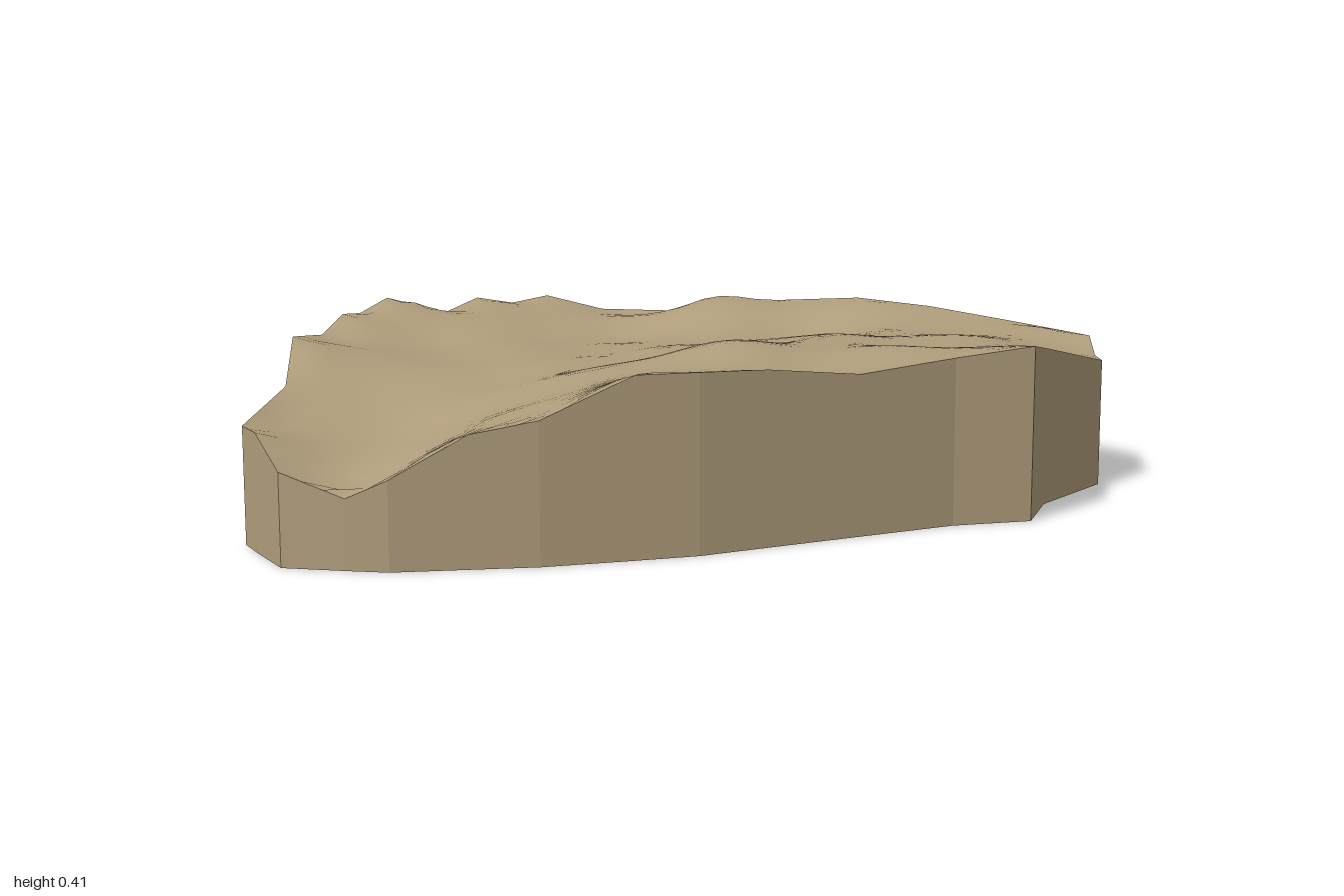
import * as THREE from 'three';

// Rim of the slab, clockwise from the back: x, z, height
const RIM = [
  [-0.47, -0.87, 0.385], [-0.31, -0.85, 0.35], [-0.09, -0.815, 0.35], [-0.02, -0.80, 0.385],
  [0.19, -0.74, 0.39], [0.41, -0.675, 0.405], [0.6, -0.615, 0.39], [0.81, -0.55, 0.36],
  [0.99, -0.32, 0.35], [0.995, -0.24, 0.31], [1.0, -0.15, 0.31], [0.84, 0.10, 0.37], [0.79, 0.29, 0.40],
  [0.61, 0.35, 0.38], [0.40, 0.475, 0.36], [0.2, 0.595, 0.385], [0.06, 0.68, 0.39],
  [-0.07, 0.73, 0.39], [-0.26, 0.80, 0.305], [-0.4, 0.83, 0.28], [-0.56, 0.865, 0.19],
  [-0.65, 0.857, 0.15], [-0.79, 0.84, 0.20], [-0.87, 0.72, 0.26], [-0.92, 0.64, 0.26],
  [-0.905, 0.34, 0.30], [-1.0, -0.09, 0.36], [-0.966, -0.25, 0.345], [-0.94, -0.37, 0.385],
  [-0.92, -0.48, 0.375], [-0.86, -0.545, 0.41], [-0.73, -0.69, 0.355], [-0.65, -0.75, 0.39],
  [-0.56, -0.81, 0.37],
];

// Swells and hollows of the upper surface: x, z, height
const RELIEF = [
  // back, falling toward the middle
  [-0.55, -0.55, 0.36], [-0.8, -0.42, 0.37], [-0.2, -0.66, 0.35], [0.1, -0.6, 0.385], [0.42, -0.52, 0.375],
  [-0.7, -0.28, 0.32], [-0.2, -0.5, 0.31], [0.25, -0.4, 0.325], [0.6, -0.4, 0.35],
  // middle
  [-0.4, -0.2, 0.32], [0, -0.3, 0.335], [0.35, -0.13, 0.375], [0.45, 0.02, 0.365],
  [0.1, 0, 0.35], [-0.2, 0.1, 0.32], [0.7, -0.2, 0.36], [0.72, 0.04, 0.365],
  // front crest and the step below it
  [0.11, 0.28, 0.4], [0.45, 0.22, 0.385], [0.26, 0.42, 0.355], [0, 0.46, 0.36], [-0.2, 0.35, 0.335],
  // gully running down to the low front corner
  [-0.75, 0.15, 0.315], [-0.5, 0.15, 0.3], [-0.5, 0.42, 0.26], [-0.65, 0.55, 0.22],
];

// Smooth height function passing through all the given points
function makeHeight(points) {
  const mean = 0.35, n = points.length;
  const kernel = (dx, dz) => {
    const r = Math.hypot(dx, dz) / 0.2;
    return (1 + r) * Math.exp(-r);
  };
  const m = points.map((p) => [...points.map((q) => kernel(p[0] - q[0], p[1] - q[1])), p[2] - mean]);
  for (let i = 0; i < n; i++) {
    for (let j = i + 1; j < n; j++) {
      const f = m[j][i] / m[i][i];
      for (let k = i; k <= n; k++) m[j][k] -= f * m[i][k];
    }
  }
  const w = new Array(n).fill(0);
  for (let i = n - 1; i >= 0; i--) {
    let s = m[i][n];
    for (let k = i + 1; k < n; k++) s -= m[i][k] * w[k];
    w[i] = s / m[i][i];
  }
  return (x, z) => {
    let y = mean;
    points.forEach((p, i) => { y += w[i] * kernel(x - p[0], z - p[1]); });
    return THREE.MathUtils.clamp(y, 0.14, 0.41);
  };
}

// Split the rim into short straight pieces, keeping every corner
function sampleRim(step) {
  const out = [];
  RIM.forEach((a, i) => {
    const b = RIM[(i + 1) % RIM.length];
    const n = Math.ceil(Math.hypot(b[0] - a[0], b[1] - a[1]) / step);
    for (let k = 0; k < n; k++) out.push(a.map((v, c) => v + (b[c] - v) * k / n));
  });
  return out;
}

function geometry(positions, index) {
  const g = new THREE.BufferGeometry();
  g.setAttribute('position', new THREE.Float32BufferAttribute(positions, 3));
  if (index) g.setIndex(index);
  g.computeVertexNormals();
  return g;
}

export function createModel() {
  const stone = new THREE.MeshStandardMaterial({ color: 0xaf9d7b });
  stone.name = 'sandstone';
  const group = new THREE.Group();
  group.name = 'rockSlab';
  const add = (name, geo) => {
    const mesh = new THREE.Mesh(geo, stone);
    mesh.name = name;
    group.add(mesh);
  };

  const height = makeHeight([...RIM, ...RELIEF]);
  const rim = sampleRim(0.06);
  const n = rim.length, rings = 20;

  // Uneven upper surface: rings growing from the middle out to the rim
  const top = [0, height(0, 0), 0], topIndex = [];
  for (let r = 1; r <= rings; r++) {
    for (const [x, z, y] of rim) {
      const t = r / rings;
      const ripple = 0.008 * Math.sin(13 * x * t + 5 * z * t) * Math.sin(15 * z * t - 4 * x * t);
      top.push(x * t, r === rings ? y : height(x * t, z * t) + ripple * (1 - t * t), z * t);
    }
  }
  for (let i = 0; i < n; i++) {
    const j = (i + 1) % n;
    topIndex.push(0, 1 + j, 1 + i);
    for (let r = 0; r < rings - 1; r++) {
      const a = 1 + r * n + i, b = 1 + r * n + j;
      topIndex.push(a, b, b + n, a, b + n, a + n);
    }
  }
  add('weatheredTop', geometry(top, topIndex));

  // Upright broken sides and flat underside
  const sides = [], base = [];
  rim.forEach(([ax, az, ay], i) => {
    const [bx, bz, by] = rim[(i + 1) % n];
    sides.push(bx, 0, bz, ax, 0, az, ax, ay, az, bx, 0, bz, ax, ay, az, bx, by, bz);
    base.push(0, 0, 0, ax, 0, az, bx, 0, bz);
  });
  add('sides', geometry(sides));
  add('underside', geometry(base));
  return group;
}
